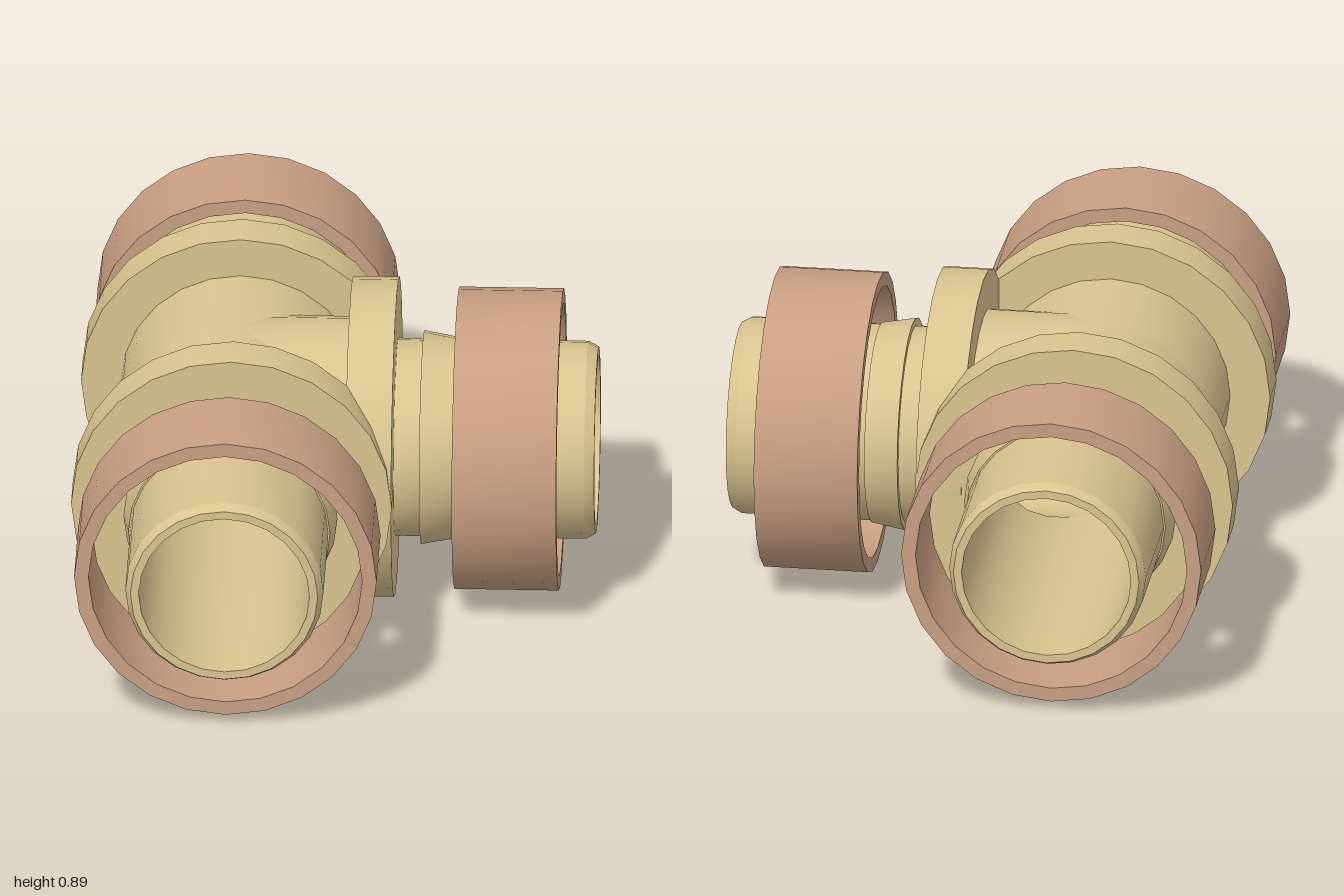
import * as THREE from 'three';
import { toCreasedNormals } from 'three/addons/utils/BufferGeometryUtils.js';

const SIDES = 24;
const AXIS_X = -0.28, AXIS_Y = 0.445;
const FLANGE_START = 0.315;

// Profiles are [radius, distance from the tee centre]
const ARM = [
  [0.333, 0], [0.333, FLANGE_START],                       // body barrel
  [0.445, FLANGE_START], [0.445, 0.443], [0.275, 0.443],   // flange
  [0.275, 0.515], [0.297, 0.515], [0.28, 0.61], [0.275, 0.61], // neck and barb
  [0.275, 0.972], [0.26, 1], [0.237, 1],                   // chamfered spigot end
  [0.237, 0],                                              // bore
];
const RING = [[0.38, 0.61], [0.42, 0.61], [0.42, 0.9], [0.38, 0.9], [0.38, 0.61]];

function lathe(profile) {
  return new THREE.LatheGeometry(profile.map(([r, s]) => new THREE.Vector2(r, s)), SIDES);
}

// Slide the inner rings of an arm onto the mitre planes where the pipes meet
function mitredArm(mitre) {
  const geo = lathe(ARM);
  const p = geo.attributes.position;
  for (let i = 0; i < p.count; i++) {
    if (p.getY(i) < 1e-6) p.setY(i, Math.min(mitre(p.getX(i)), FLANGE_START));
  }
  return geo;
}

export function createModel() {
  const group = new THREE.Group();
  const pipeMat = new THREE.MeshStandardMaterial({ color: 0xd9c48f });
  const ringMat = new THREE.MeshStandardMaterial({ color: 0xc89f82 });

  const add = (parent, name, geo, mat) => {
    geo.rotateX(Math.PI / 2); // lathe axis to +z
    const mesh = new THREE.Mesh(toCreasedNormals(geo, 0.35), mat);
    mesh.name = name;
    parent.add(mesh);
  };

  // Two straight arms along z and one branch along +x
  const arms = [
    { name: 'frontArm', turn: 0, mitre: x => Math.max(0, x) },
    { name: 'backArm', turn: Math.PI, mitre: x => Math.max(0, -x) },
    { name: 'branchArm', turn: Math.PI / 2, mitre: x => Math.abs(x) },
  ];
  for (const { name, turn, mitre } of arms) {
    const arm = new THREE.Group();
    arm.name = name;
    add(arm, 'flangedPipe', mitredArm(mitre), pipeMat);
    add(arm, 'clampRing', lathe(RING), ringMat);
    arm.rotation.y = turn;
    arm.position.set(AXIS_X, AXIS_Y, 0);
    group.add(arm);
  }
  return group;
}
